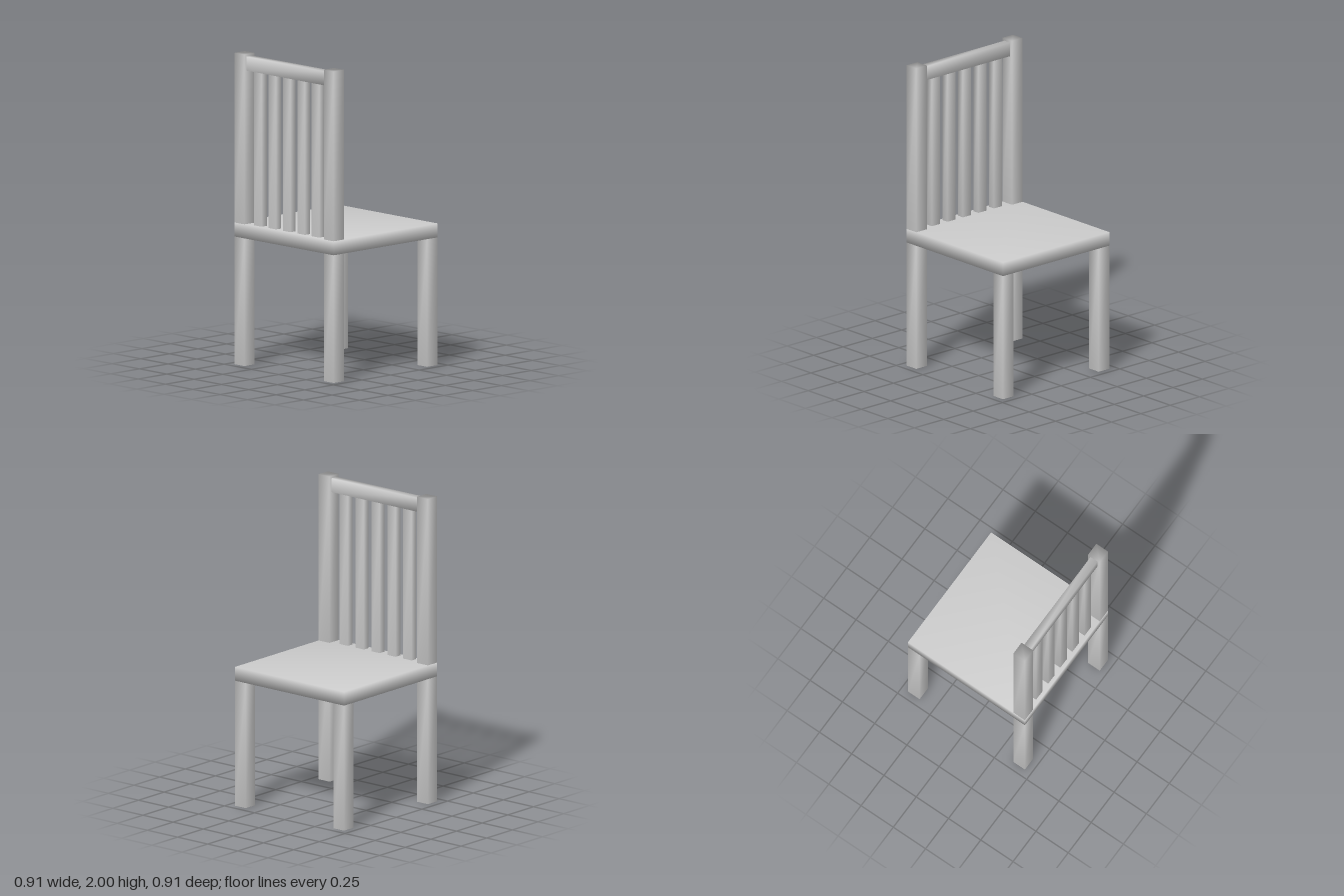
import * as THREE from 'three';
import { mergeVertices } from 'three/addons/utils/BufferGeometryUtils.js';

const material = new THREE.MeshStandardMaterial({ color: 0xcccccc });

// Box with shared corners, so shading runs softly over its edges
function softBox(w, h, d) {
  const box = new THREE.BoxGeometry(w, h, d);
  box.deleteAttribute('normal');
  box.deleteAttribute('uv');
  const geometry = mergeVertices(box);
  geometry.computeVertexNormals();
  return geometry;
}

export function createModel() {
  const chair = new THREE.Group();
  chair.name = 'chair';

  // Adds a box standing on height y0 and reaching y1
  function addPart(name, x, z, y0, y1, w, d) {
    const mesh = new THREE.Mesh(softBox(w, y1 - y0, d), material);
    mesh.name = name;
    mesh.position.set(x, (y0 + y1) / 2, z);
    chair.add(mesh);
  }

  const size = 0.906, post = 0.09;
  const corner = (size - post) / 2;
  const seatBottom = 0.82, seatTop = 0.91;

  addPart('seat', 0, 0, seatBottom, seatTop, size, size);

  // Legs under each corner, back posts above the +z corners
  for (const side of [-1, 1]) {
    const label = side > 0 ? 'left' : 'right';
    addPart(label + 'SeatFrontLeg', side * corner, -corner, 0, seatBottom, post, post);
    addPart(label + 'BackrestLeg', side * corner, corner, 0, seatBottom, post, post);
    addPart(label + 'BackrestPost', side * corner, corner, seatTop, 2, post, post);
  }

  // Top rail between the posts and five slats below it
  const railBottom = 1.895;
  addPart('topRail', 0, corner, railBottom, 1.985, size - 2 * post, 0.053);
  for (let i = -2; i <= 2; i++) {
    addPart('slat' + (i + 3), i * 0.132, corner, seatTop, railBottom, 0.07, 0.045);
  }

  return chair;
}
